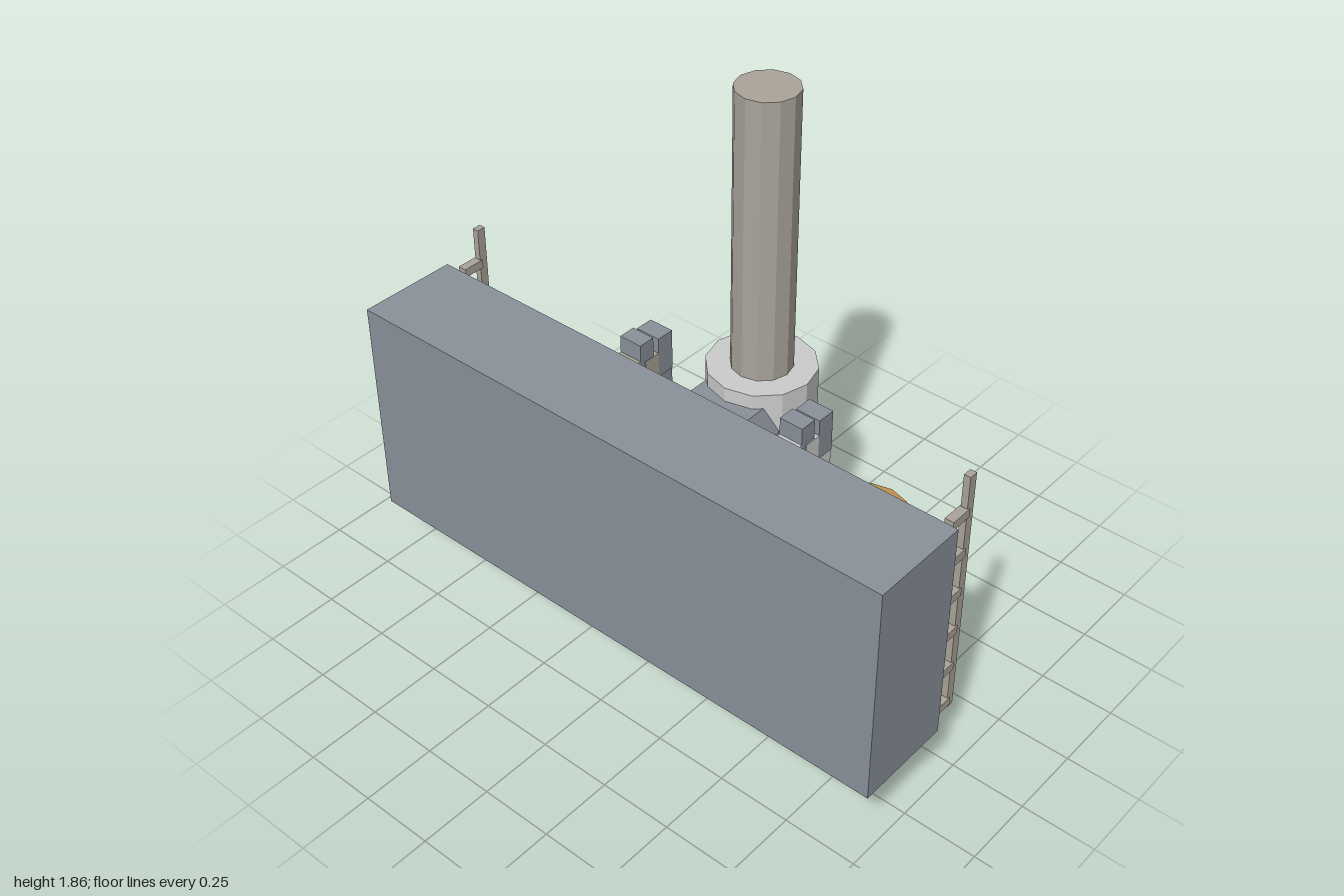
import * as THREE from 'three';

const mat = (name, color) => {
  const m = new THREE.MeshStandardMaterial({ color, flatShading: true });
  m.name = name;
  return m;
};

export function createModel() {
  const slate = mat('slate', 0x8b929b);
  const taupe = mat('taupe', 0xaba59a);
  const ochre = mat('ochre', 0xbf9250);
  const pale = mat('paleGrey', 0xcdcdcd);

  const model = new THREE.Group();
  const add = (name, geo, material, parent = model) => {
    const mesh = new THREE.Mesh(geo, material);
    mesh.name = name;
    parent.add(mesh);
    return mesh;
  };
  // Box given by its extents on each axis
  const box = (name, material, [x0, x1], [y0, y1], [z0, z1], parent = model) => {
    const mesh = add(name, new THREE.BoxGeometry(x1 - x0, y1 - y0, z1 - z0), material, parent);
    mesh.position.set((x0 + x1) / 2, (y0 + y1) / 2, (z0 + z1) / 2);
    return mesh;
  };
  // Upright twelve-sided drum
  const drum = (name, material, r, x, z, y0, y1) => {
    const mesh = add(name, new THREE.CylinderGeometry(r, r, y1 - y0, 12), material);
    mesh.position.set(x, (y0 + y1) / 2, z);
  };
  // Square rod between two points
  const rod = (name, material, a, b, t) => {
    const va = new THREE.Vector3(...a), vb = new THREE.Vector3(...b);
    const mesh = add(name, new THREE.BoxGeometry(t, t, va.distanceTo(vb)), material);
    mesh.position.copy(va).add(vb).multiplyScalar(0.5);
    mesh.lookAt(vb);
  };

  // Large front slab
  box('frontSlab', slate, [-1, 1], [0.24, 1.02], [0.11, 0.453]);

  // Mast and its collar
  drum('collar', pale, 0.18, 0, -0.277, 0.37, 0.89);
  drum('mast', taupe, 0.101, 0, -0.277, 0.88, 1.855);

  // Chamfered neck joining collar and slab, narrowing at the slab
  const sections = [
    [-0.2, 0.15, 0.115, 0.47, 0.84],
    [0.07, 0.15, 0.115, 0.47, 0.84],
    [0.118, 0.115, 0.09, 0.49, 0.82],
  ];
  const pos = [], index = [];
  sections.forEach(([z, w, t, y0, y1]) => {
    const c = 0.09;
    [[-t, y0], [t, y0], [w, y0 + c], [w, y1 - c], [t, y1], [-t, y1], [-w, y1 - c], [-w, y0 + c]]
      .forEach(([x, y]) => pos.push(x, y, z));
  });
  for (let s = 0; s < 2; s++) {
    for (let i = 0; i < 8; i++) {
      const a = s * 8 + i, b = s * 8 + (i + 1) % 8;
      index.push(a, b, b + 8, a, b + 8, a + 8);
    }
  }
  for (let i = 1; i < 7; i++) index.push(0, i + 1, i, 16, 16 + i, 17 + i);
  const neck = new THREE.BufferGeometry();
  neck.setAttribute('position', new THREE.Float32BufferAttribute(pos, 3));
  neck.setIndex(index);
  neck.computeVertexNormals();
  add('neck', neck, slate);

  // Cross bars
  [0.81, 0.63, 0.445].forEach((y) =>
    box('crossBar', ochre, [-0.4, 0.4], [y - 0.017, y + 0.017], [0.035, 0.075]));

  // Equipment cabinet with rear door
  box('cabinet', taupe, [-0.625, -0.285], [0, 0.42], [-0.155, 0.1]);
  box('cabinetDoor', ochre, [-0.56, -0.35], [0.08, 0.37], [-0.164, -0.155]);

  // Stacked blocks: z range, y range, material on the left, material on the right
  const blocks = [
    [-0.165, -0.1, 0.8, 0.945, slate, slate],
    [-0.08, -0.02, 0.82, 0.96, slate, slate],
    [-0.17, -0.1, 0.65, 0.88, pale, slate],
    [-0.1, -0.04, 0.68, 0.89, pale, taupe],
    [-0.04, 0.0, 0.7, 0.9, pale, taupe],
    [-0.2, -0.14, 0.36, 0.66, pale, slate],
    [-0.14, -0.09, 0.42, 0.73, slate, pale],
    [-0.09, -0.05, 0.38, 0.8, taupe, slate],
    [-0.05, 0.0, 0.4, 0.72, pale, taupe],
    [0.0, 0.035, 0.5, 0.84, pale, taupe],
    [0.01, 0.06, 0.34, 0.53, slate, slate],
  ];

  for (const s of [1, -1]) {
    const side = s > 0 ? 'left' : 'right';
    drum(side + 'Barrel', ochre, 0.135, s * 0.52, -0.143, 0.185, 0.655);

    const stack = new THREE.Group();
    stack.name = side + 'BlockStack';
    model.add(stack);
    blocks.forEach(([z0, z1, y0, y1, left, right], i) => {
      const inset = (i % 3) * 0.003;
      box('block', s > 0 ? left : right, [s * 0.32 - 0.045 + inset, s * 0.32 + 0.045 - inset],
        [y0, y1], [z0, z1], stack);
    });

    // Side ladder
    const ladder = new THREE.Group();
    ladder.name = side + 'Ladder';
    model.add(ladder);
    box('post', taupe, [s * 0.955 - 0.011, s * 0.955 + 0.011], [0.24, 1.125], [-0.012, 0.018], ladder);
    for (let i = 0; i < 6; i++) {
      const y = 0.265 + i * 0.1465;
      box('rung', taupe, [s * 0.955 - 0.015, s * 0.955 + 0.015], [y - 0.015, y + 0.015], [0.01, 0.088], ladder);
    }
    // Diagonal braces between the thin rods
    rod('brace', taupe, [s * 0.4, 0.475, -0.165], [s * 0.14, 0.475, -0.125], 0.012);
    rod('brace', taupe, [s * 0.4, 0.475, -0.125], [s * 0.14, 0.475, -0.165], 0.012);
  }

  // Thin rods through the barrels
  for (const z of [-0.168, -0.122]) rod('thinRod', taupe, [-0.705, 0.475, z], [0.705, 0.475, z], 0.014);

  return model;
}
